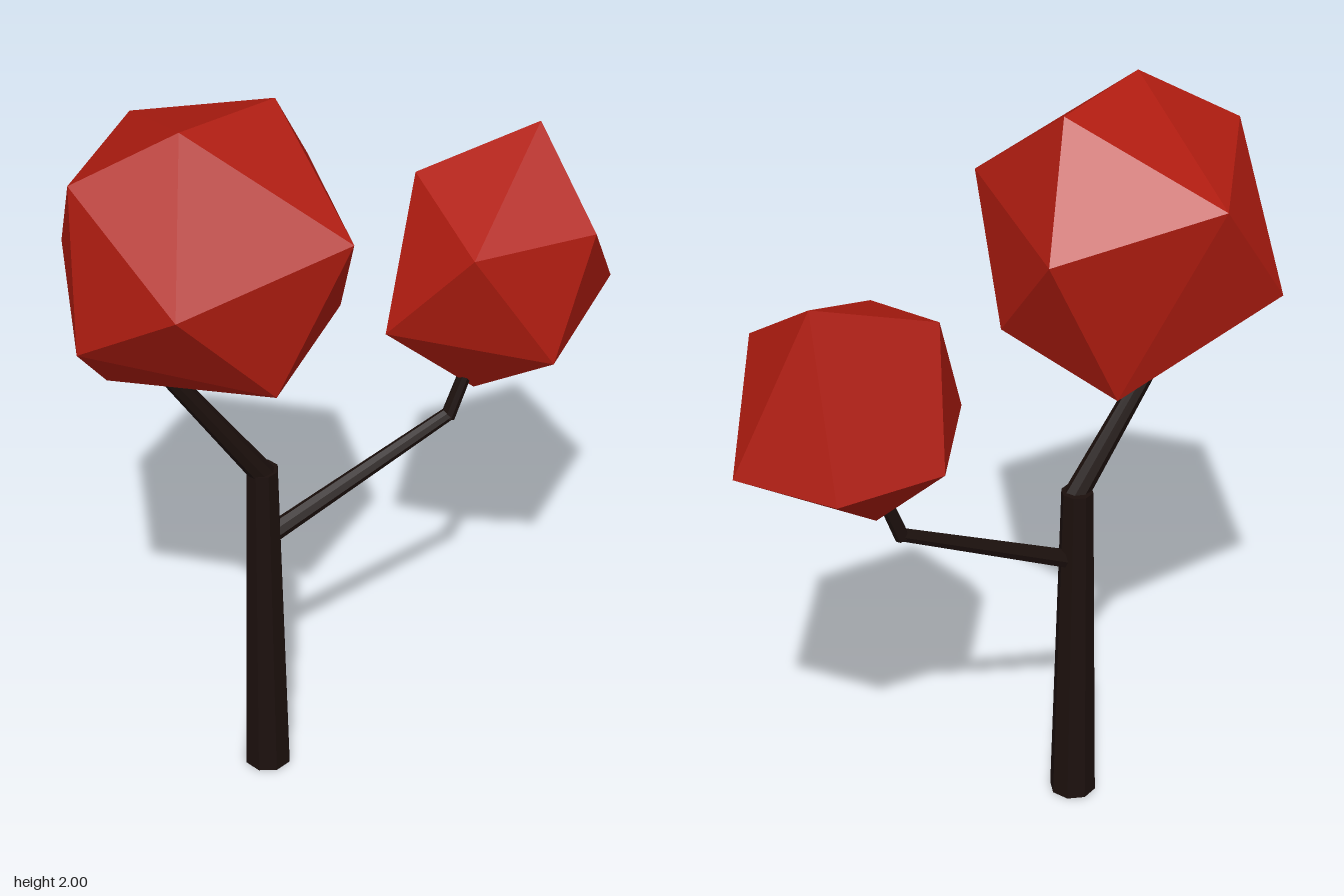
import * as THREE from 'three';
import { ConvexGeometry } from 'three/addons/geometries/ConvexGeometry.js';

const bark = new THREE.MeshStandardMaterial({ color: 0x1c100d, flatShading: true });
const leaf = new THREE.MeshStandardMaterial({ color: 0xb01c10, flatShading: true });
const UP = new THREE.Vector3(0, 1, 0);
const Z = -0.015; // depth of the branches

// Tapered limb between two points
function limb(name, from, to, r0, r1) {
  const a = new THREE.Vector3(...from), b = new THREE.Vector3(...to);
  const dir = b.clone().sub(a);
  const mesh = new THREE.Mesh(new THREE.CylinderGeometry(r1, r0, dir.length(), 8), bark);
  mesh.position.copy(a).add(b).multiplyScalar(0.5);
  mesh.quaternion.setFromUnitVectors(UP, dir.normalize());
  mesh.name = name;
  return mesh;
}

// Faceted, irregular foliage ball spanned by its corner points
function crown(name, corners) {
  const mesh = new THREE.Mesh(new ConvexGeometry(corners.map(p => new THREE.Vector3(...p))), leaf);
  mesh.name = name;
  return mesh;
}

export function createModel() {
  const tree = new THREE.Group();
  tree.name = 'tree';

  // Trunk and branches
  tree.add(
    limb('trunk', [-0.235, 0, -0.02], [-0.235, 0.937, -0.02], 0.062, 0.042),
    limb('rightBranch', [-0.225, 0.91, Z], [-0.55, 1.39, Z], 0.032, 0.021),
    limb('leftBranchLower', [-0.235, 0.725, Z], [0.28, 0.97, Z], 0.026, 0.018),
    limb('leftBranchUpper', [0.275, 0.96, Z], [0.345, 1.14, Z], 0.019, 0.017),
  );

  // Large crown
  tree.add(crown('largeCrown', [
    [-0.47, 2.0, 0.104], [-0.706, 1.862, 0], [-0.193, 1.98, 0], [-0.424, 1.82, -0.362],
    [-0.587, 1.667, 0.36], [-0.128, 1.735, 0.308], [-0.032, 1.704, -0.197],
    [-0.737, 1.466, 0.092], [-0.627, 1.53, -0.322], [-0.055, 1.418, 0.06],
    [-0.325, 1.37, 0.307], [-0.225, 1.297, -0.21], [-0.627, 1.297, -0.03],
  ]));

  // Small crown
  tree.add(crown('smallCrown', [
    [0.555, 1.711, -0.1], [0.237, 1.614, -0.147], [0.246, 1.529, 0.175], [0.575, 1.529, 0.175],
    [0.088, 1.27, 0.01], [0.73, 1.27, -0.02], [0.453, 1.206, 0.212],
    [0.286, 1.265, -0.252], [0.565, 1.25, -0.23], [0.347, 1.032, -0.016],
  ]));
  return tree;
}
